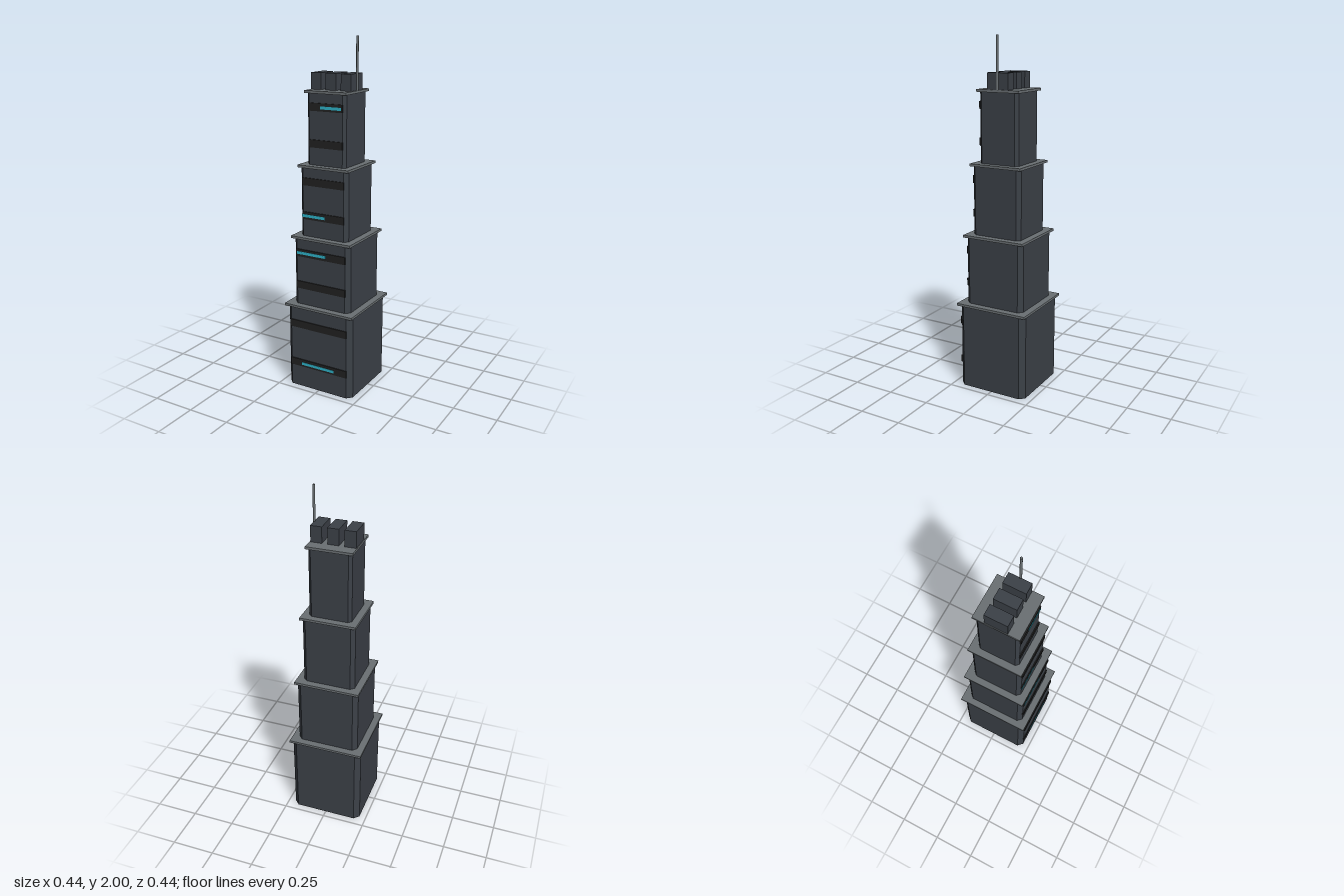
import * as THREE from 'three';

const flat = (name, color) => {
  const m = new THREE.MeshStandardMaterial({ color });
  m.name = name;
  return m;
};

export function createModel() {
  const wall = flat('slate wall', 0x3c4148);
  const trim = flat('grey trim', 0x6a7073);
  const glass = flat('dark window', 0x222222);
  const neon = flat('cyan light', 0x30b5cc);

  const tower = new THREE.Group();
  tower.name = 'tower';

  const add = (parent, name, geometry, material, x, y, z) => {
    const mesh = new THREE.Mesh(geometry, material);
    mesh.name = name;
    mesh.position.set(x, y, z);
    parent.add(mesh);
  };

  // Square column with chamfered vertical edges, standing on y = 0
  const column = (r, c, height) => {
    const pts = [
      [r, -r + c], [r, r - c], [r - c, r], [-r + c, r],
      [-r, r - c], [-r, -r + c], [-r + c, -r], [r - c, -r],
    ].map(([x, y]) => new THREE.Vector2(x, y));
    const geo = new THREE.ExtrudeGeometry(new THREE.Shape(pts), { depth: height, bevelEnabled: false });
    return geo.rotateX(-Math.PI / 2);
  };

  // Stacked tiers; light is [height, left end, right end]
  const tiers = [
    { r: 0.21, c: 0.029, y0: 0, y1: 0.505, bands: [0.15, 0.392], light: [0.148, -0.107, 0.103] },
    { r: 0.18, c: 0.025, y0: 0.505, y1: 0.908, bands: [0.623, 0.814], light: [0.815, -0.152, 0.034] },
    { r: 0.15, c: 0.021, y0: 0.908, y1: 1.312, bands: [1.028, 1.222], light: [1.027, -0.134, 0.013] },
    { r: 0.12, c: 0.017, y0: 1.312, y1: 1.716, bands: [1.431, 1.63], light: [1.628, -0.028, 0.098] },
  ];
  const capHeight = 0.014;

  tiers.forEach(({ r, c, y0, y1, bands, light }, i) => {
    const tier = new THREE.Group();
    tier.name = `tier${i + 1}`;
    tower.add(tier);
    add(tier, 'tierBody', column(r, c, y1 - y0 - capHeight), wall, 0, y0, 0);
    add(tier, 'tierLedge', new THREE.BoxGeometry(2 * r + 0.018, capHeight, 2 * r + 0.018), trim, 0, y1 - capHeight / 2, 0);

    // Front window strips and their light
    for (const y of bands) {
      add(tier, 'windowBand', new THREE.BoxGeometry(r * 1.75, 0.043, 0.008), glass, 0, y, r + 0.002);
    }
    const [ly, lx0, lx1] = light;
    add(tier, 'lightStrip', new THREE.BoxGeometry(lx1 - lx0, 0.016, 0.006), neon, (lx0 + lx1) / 2, ly, r + 0.005);
  });

  // Rooftop plant blocks
  for (const x of [-0.094, -0.001, 0.092]) {
    add(tower, 'roofBlock', new THREE.BoxGeometry(0.063, 0.09, 0.127), wall, x, 1.761, 0);
  }

  // Antenna on the left edge of the roof
  add(tower, 'antenna', new THREE.CylinderGeometry(0.007, 0.007, 0.285, 8), trim, 0.125, 1.8575, 0);

  return tower;
}
